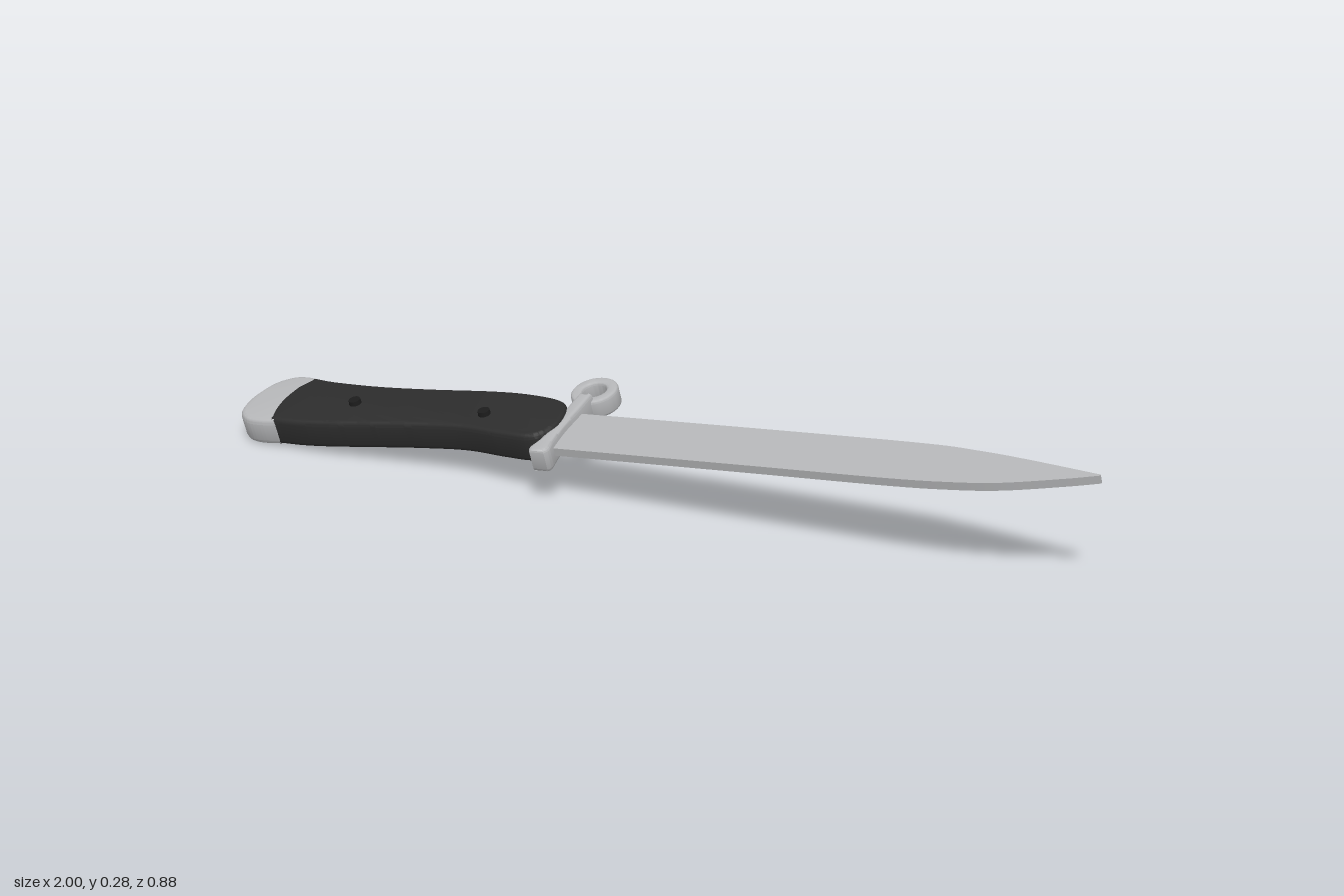
import * as THREE from 'three';
import { toCreasedNormals } from 'three/addons/utils/BufferGeometryUtils.js';

const steel = new THREE.MeshStandardMaterial({ color: 0xb4b5b7 });
steel.name = 'steel';
const grip = new THREE.MeshStandardMaterial({ color: 0x2c2c2c });
grip.name = 'dark grip';
const rivet = new THREE.MeshStandardMaterial({ color: 0x1c1c1c });
rivet.name = 'black rivet';

const vec = (pts) => pts.map(([x, y]) => new THREE.Vector2(x, y));

// Closed outline made of smooth runs that meet at corners
function outline(...runs) {
  const shape = new THREE.Shape();
  shape.moveTo(...runs[0][0]);
  runs.forEach((run, i) => {
    if (i > 0) shape.lineTo(...run[0]);
    if (run.length > 2) shape.splineThru(vec(run.slice(1)));
    else if (run.length === 2) shape.lineTo(...run[1]);
  });
  shape.closePath();
  return shape;
}

// Flat part: outline in the x/z plane, from bottom to top, with rounded rims
function plate(name, shape, bottom, top, bevel, material) {
  const geometry = new THREE.ExtrudeGeometry(shape, {
    depth: top - bottom - 2 * bevel,
    bevelEnabled: bevel > 0,
    bevelThickness: bevel,
    bevelSize: bevel,
    bevelOffset: -bevel,
    bevelSegments: 3,
    curveSegments: 24,
  });
  geometry.rotateX(Math.PI / 2).translate(0, top - bevel, 0);
  const mesh = new THREE.Mesh(toCreasedNormals(geometry, 0.6), material);
  mesh.name = name;
  return mesh;
}

export function createModel() {
  const knife = new THREE.Group();
  knife.name = 'knife';

  // Blade: straight spine, curved edge sweeping to the point
  knife.add(plate('blade', outline(
    [[-0.21, -0.107], [0.25, -0.106], [0.66, -0.102], [0.8, -0.091], [0.92, -0.073], [1.095, -0.04]],
    [[1.095, -0.036], [1.02, -0.012], [0.89, 0.022], [0.77, 0.036], [0.62, 0.041], [0.3, 0.04], [-0.21, 0.04]],
  ), -0.01, 0.01, 0, steel));

  // Handle: waisted grip with a bowed rear end and a rounded front
  knife.add(plate('handle', outline(
    [[-0.937, -0.134], [-0.87, -0.125], [-0.74, -0.121], [-0.6, -0.127], [-0.44, -0.139],
      [-0.34, -0.139], [-0.25, -0.125], [-0.215, -0.095], [-0.202, -0.04], [-0.212, 0.005],
      [-0.25, 0.037], [-0.33, 0.034], [-0.44, 0.022], [-0.56, 0.029], [-0.68, 0.042],
      [-0.8, 0.056], [-0.88, 0.061], [-0.952, 0.059]],
    [[-0.952, 0.059], [-0.967, 0.01], [-0.97, -0.04], [-0.962, -0.09], [-0.937, -0.134]].slice(0, 4),
  ), -0.036, 0.036, 0.012, grip));

  // Pommel: rounded cap behind the handle
  knife.add(plate('pommel', outline(
    [[-0.925, -0.135], [-0.965, -0.14], [-1.0, -0.133], [-1.035, -0.105], [-1.055, -0.06],
      [-1.063, -0.01], [-1.052, 0.035], [-1.02, 0.062], [-0.98, 0.068], [-0.94, 0.064]],
  ), -0.034, 0.034, 0.012, steel));

  // Crossguard: narrow bar, wider at its free end
  knife.add(plate('crossguard', outline(
    [[-0.22, -0.165], [-0.221, -0.1], [-0.217, -0.03], [-0.222, 0.03], [-0.231, 0.065], [-0.226, 0.079]],
    [[-0.189, 0.079], [-0.182, 0.065], [-0.187, 0.03], [-0.19, -0.03], [-0.187, -0.1], [-0.186, -0.165]],
  ), -0.031, 0.029, 0.008, steel));

  // Ring at the other end of the crossguard
  const ring = new THREE.Shape().absarc(-0.204, -0.206, 0.057, 0, Math.PI * 2);
  ring.holes.push(new THREE.Path().absarc(-0.204, -0.206, 0.029, 0, Math.PI * 2, true));
  knife.add(plate('guardRing', ring, -0.034, 0.013, 0.007, steel));

  // Rivets on the upper face of the handle
  for (const x of [-0.763, -0.404]) {
    const mesh = new THREE.Mesh(new THREE.CylinderGeometry(0.014, 0.016, 0.02, 20), rivet);
    mesh.name = 'rivet';
    mesh.position.set(x, 0.037, -0.036);
    knife.add(mesh);
  }

  // Lay the knife diagonally on a tilted plane
  knife.rotation.set(0.266, Math.PI / 8, 0);
  knife.position.y = 0.15;

  const model = new THREE.Group();
  model.name = 'model';
  model.add(knife);
  return model;
}
